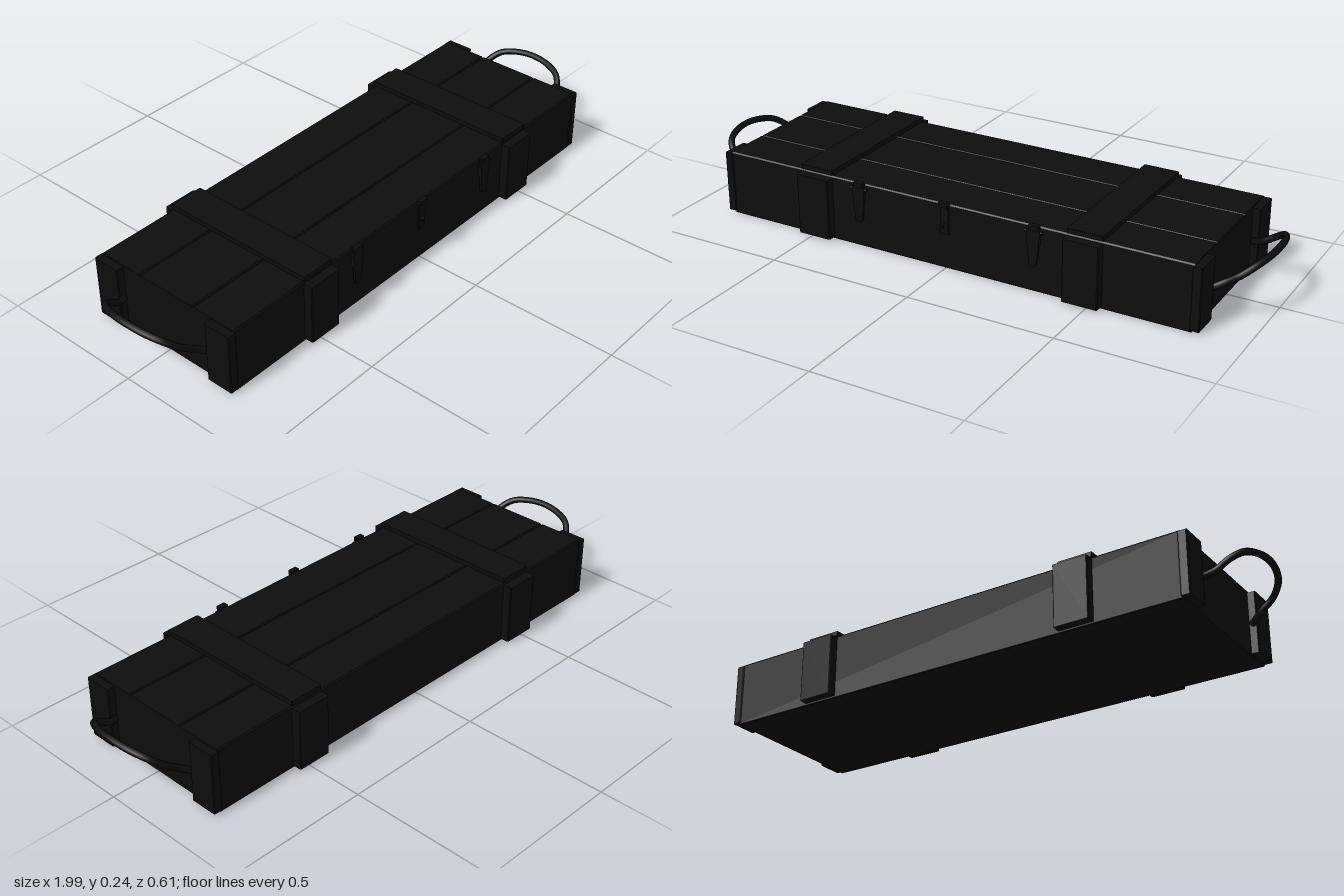
import * as THREE from 'three';

const material = new THREE.MeshStandardMaterial({ color: 0x0d0d0d });

function add(parent, name, geometry, x = 0, y = 0, z = 0) {
  const mesh = new THREE.Mesh(geometry, material);
  mesh.name = name;
  mesh.position.set(x, y, z);
  parent.add(mesh);
  return mesh;
}

// Box given by its limits, with slightly bevelled edges running along y
function block(parent, name, x0, x1, y0, y1, z0, z1, bevel = 0.003) {
  const s = new THREE.Shape();
  const b = bevel;
  s.moveTo(x0 + b, -z0);
  s.lineTo(x0, -z0 - b);
  s.lineTo(x0, -z1 + b);
  s.lineTo(x0 + b, -z1);
  s.lineTo(x1 - b, -z1);
  s.lineTo(x1, -z1 + b);
  s.lineTo(x1, -z0 - b);
  s.lineTo(x1 - b, -z0);
  const g = new THREE.ExtrudeGeometry(s, { depth: y1 - y0, bevelEnabled: false });
  g.rotateX(-Math.PI / 2);
  return add(parent, name, g, 0, y0, 0);
}

// Cross-section in (z, y) extruded along x
function alongX(points, length) {
  const s = new THREE.Shape(points.map(([z, y]) => new THREE.Vector2(-z, y)));
  const g = new THREE.ExtrudeGeometry(s, { depth: length, bevelEnabled: false });
  g.translate(0, 0, -length / 2);
  g.rotateY(Math.PI / 2);
  return g;
}

function makeHandle(side) {
  const half = [[0.84, 0.105, 0.18], [0.86, 0.114, 0.168], [0.885, 0.128, 0.156],
    [0.925, 0.155, 0.149], [0.958, 0.181, 0.12], [0.978, 0.194, 0.07]];
  const mirrored = half.map(([x, y, z]) => [x, y, -z]).reverse();
  const path = [...half, [0.986, 0.2, 0], ...mirrored]
    .map(([x, y, z]) => new THREE.Vector3(side * x, y, z));
  return new THREE.TubeGeometry(new THREE.CatmullRomCurve3(path), 64, 0.011, 10);
}

// Toggle latch on the front: plate, tapering lever, hook and cross pin
function makeLatch(x) {
  const latch = new THREE.Group();
  latch.name = 'latch';
  block(latch, 'latchPlate', -0.02, 0.02, 0.16, 0.222, 0.275, 0.282, 0.001);
  const lever = new THREE.Shape();
  lever.moveTo(-0.024, 0.21);
  lever.lineTo(-0.013, 0.1);
  lever.lineTo(-0.006, 0.09);
  lever.lineTo(0.006, 0.09);
  lever.lineTo(0.013, 0.1);
  lever.lineTo(0.024, 0.21);
  add(latch, 'latchLever', new THREE.ExtrudeGeometry(lever, { depth: 0.008, bevelEnabled: false }), 0, 0, 0.281);
  block(latch, 'latchHook', -0.016, 0.016, 0.212, 0.227, 0.272, 0.291, 0.001);
  const pin = add(latch, 'latchPin', new THREE.CylinderGeometry(0.005, 0.005, 0.06, 10), 0, 0.205, 0.283);
  pin.rotation.z = Math.PI / 2;
  latch.position.x = x;
  return latch;
}

export function createModel() {
  const model = new THREE.Group();
  model.name = 'crate';

  // Long body with softened edges and V grooves between the lid planks
  const profile = [[-0.275, 0.003], [-0.272, 0], [0.272, 0], [0.275, 0.003], [0.275, 0.217], [0.27, 0.222],
    [0.114, 0.222], [0.11, 0.217], [0.106, 0.222],
    [-0.106, 0.222], [-0.11, 0.217], [-0.114, 0.222], [-0.27, 0.222], [-0.275, 0.217]];
  add(model, 'body', alongX(profile, 1.66));

  for (const side of [-1, 1]) {
    const range = (a, b) => (side > 0 ? [a, b] : [-b, -a]);
    const [p0, p1] = range(0.825, 0.856);
    const [b0, b1] = range(0.422, 0.542);

    // Corner posts at the ends, battens up the long sides
    for (const z of [-1, 1]) {
      const [z0, z1] = z > 0 ? [0.182, 0.278] : [-0.278, -0.182];
      block(model, 'cornerPost', p0, p1, 0.008, 0.216, z0, z1);
      const [s0, s1] = z > 0 ? [0.27, 0.306] : [-0.306, -0.27];
      block(model, 'sideBatten', b0, b1, 0.008, 0.216, s0, s1);
    }

    // Lid batten, resting just clear of the planks
    block(model, 'lidBatten', b0, b1, 0.2245, 0.24, -0.275, 0.277, 0.002);

    // Rope handle with closed ends inside the posts
    add(model, 'ropeHandle', makeHandle(side));

    model.add(makeLatch(side * 0.315));
  }

  // Central hasp on the front
  block(model, 'haspStrap', -0.015, 0.015, 0.12, 0.224, 0.272, 0.281, 0.001);
  block(model, 'haspTop', -0.017, 0.017, 0.213, 0.228, 0.27, 0.288, 0.001);
  const staple = add(model, 'haspStaple', new THREE.TorusGeometry(0.008, 0.002, 8, 16), 0, 0.15, 0.281);
  staple.rotation.y = Math.PI / 2;

  return model;
}
